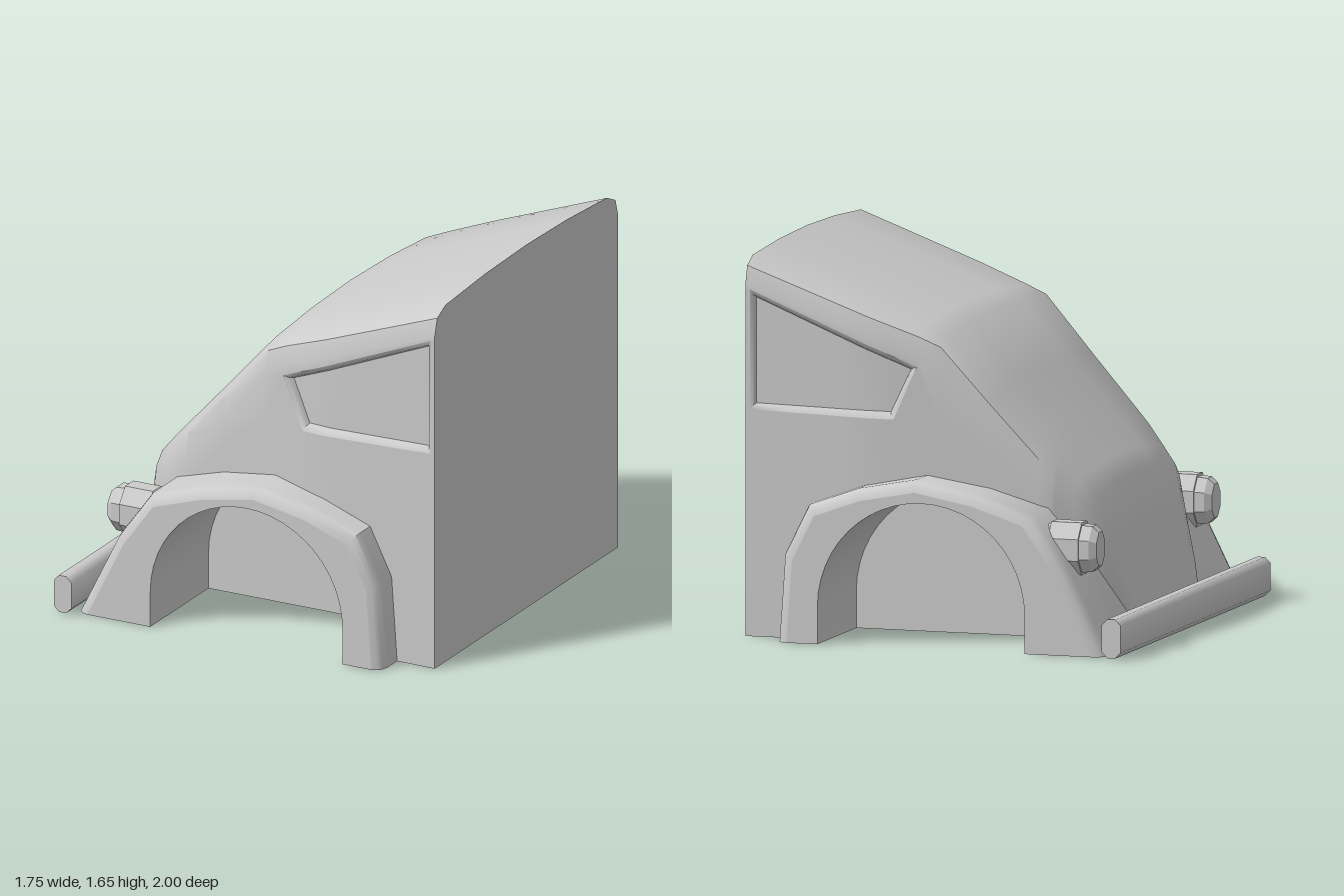
import * as THREE from 'three';
import { toCreasedNormals } from 'three/addons/utils/BufferGeometryUtils.js';

const material = new THREE.MeshStandardMaterial({ color: 0xcccccc });

function mesh(name, geometry, crease = 0.7) {
  const m = new THREE.Mesh(toCreasedNormals(geometry, crease), material);
  m.name = name;
  return m;
}

// Surface through rows of [x, y, z] points; skip(i, j) leaves cells open
function grid(rows, skip = () => false) {
  const n = rows[0].length, index = [];
  for (let i = 0; i < rows.length - 1; i++) {
    for (let j = 0; j < n - 1; j++) {
      if (skip(i, j)) continue;
      const a = i * n + j, b = a + n;
      index.push(a, b, a + 1, b, b + 1, a + 1);
    }
  }
  const g = new THREE.BufferGeometry();
  g.setAttribute('position', new THREE.Float32BufferAttribute(rows.flat(2), 3));
  g.setIndex(index);
  return g;
}

// Piecewise linear lookup in a table of [x, value]
function lookup(table, x) {
  if (x <= table[0][0]) return table[0][1];
  for (let i = 1; i < table.length; i++) {
    const [x0, v0] = table[i - 1], [x1, v1] = table[i];
    if (x <= x1) return v0 + (v1 - v0) * (x - x0) / (x1 - x0);
  }
  return table[table.length - 1][1];
}

const flat = (points) => new THREE.ShapeGeometry(new THREE.Shape(points.map(([x, y]) => new THREE.Vector2(x, y))));

// Body lines: roof height and half width along x
const roof = [[-0.79, 0], [-0.61, 0.67], [0.02, 1.34], [0.87, 1.655]];
const width = [[-0.79, 0.35], [-0.72, 0.47], [-0.6, 0.6], [-0.45, 0.69], [-0.05, 0.75], [0.33, 0.81], [0.87, 0.82]];
const widthAt = (x) => lookup(width, x);

// Window opening and the smaller pane inside it
const openLow = [[0.115, 1.185], [0.215, 0.955], [0.85, 0.975]];
const openHigh = [[0.115, 1.185], [0.85, 1.49]];
const paneLow = [[0.15, 1.17], [0.235, 0.985], [0.83, 1.0]];
const paneHigh = [[0.15, 1.17], [0.83, 1.455]];

// Wheel arch
const arch = { x: 0.035, y: 0.16, r: 0.465, inner: 0.44, outer: 0.96 };
const archLine = [[arch.x + arch.r, 0]];
for (let i = 0; i <= 24; i++) {
  const a = Math.PI * i / 24;
  archLine.push([arch.x + arch.r * Math.cos(a), arch.y + arch.r * Math.sin(a)]);
}
archLine.push([arch.x - arch.r, 0]);

const columns = [-0.79, -0.755, -0.72, -0.66, -0.61, -0.54, -0.47, -0.46, -0.4, -0.2, 0.02, 0.115,
  0.215, 0.33, 0.47, 0.53, 0.54, 0.69, 0.85, 0.87];

// Cross-section of the body at x, from one sill over the roof to the other
function section(x) {
  const top = lookup(roof, x), w = widthAt(x);
  const k = lookup([[-0.3, 1.5], [0.115, 1]], x) * Math.min(1, top / 0.6);
  const d = x - arch.x;
  const sill = x > -0.465 && x < 0.535 ? arch.y + Math.sqrt(0.25 - d * d) : 0;
  const shoulder = top - 0.145 * k;
  const mid = sill + (shoulder - sill) * 0.6;
  const half = [
    [x, sill, w],
    [x, x < 0.115 ? mid : lookup(openLow, x), w],
    [x, x < 0.115 ? mid : lookup(openHigh, x), w],
    [x, shoulder, w],
    [x, top - 0.065 * k, w * 0.97],
    [x, top - 0.03 * k, w * 0.88],
    [x, top - 0.008 * k, w * 0.45],
  ];
  const other = half.map(([a, b, c]) => [a, b, -c]).reverse();
  return [...half, [x, top, 0], ...other];
}

function makeBody() {
  const body = new THREE.Group();
  body.name = 'body';
  const rows = columns.map(section);
  const isWindow = (i, j) => (j === 1 || j === 12) && columns[i] >= 0.115 && columns[i] < 0.85;
  body.add(mesh('bodyShell', grid(rows, isWindow)));

  // Flat cut end
  const end = flat(rows[rows.length - 1].map(([, y, z]) => [z, y]));
  end.rotateY(Math.PI / 2).translate(0.87, 0, 0);
  body.add(mesh('endWall', end));

  // Floor with notches for the wheels
  const side = [[0.87, 0.82], [0.687, 0.82], [0.687, 0.9], [0.668, 0.945], [0.64, 0.96], [0.5, 0.96], [0.5, 0.44],
    [-0.43, 0.44], [-0.43, 0.96], [-0.735, 0.96], [-0.768, 0.945], [-0.79, 0.9]];
  const floor = flat([...side, ...side.map(([x, z]) => [x, -z]).reverse()]);
  body.add(mesh('floor', floor.rotateX(Math.PI / 2)));
  return body;
}

// Recessed side window: rounded rim and pane
function makeWindow() {
  const g = new THREE.Group();
  g.name = 'sideWindow';
  const xs = columns.filter((x) => x >= 0.115 && x <= 0.85);
  const inX = (x) => lookup([[0.115, 0.15], [0.215, 0.235], [0.85, 0.83]], x);
  const outer = (t) => xs.map((x) => [x, lookup(t, x), widthAt(x)]);
  const inner = (t) => xs.map((x) => [inX(x), lookup(t, inX(x)), widthAt(x) - 0.03]);
  const loop = (low, high) => [...low, ...high.reverse(), low[0]];
  const o = loop(outer(openLow), outer(openHigh));
  const n = loop(inner(paneLow), inner(paneHigh));
  const m = o.map((p, i) => [0, 1, 2].map((c) => p[c] + (n[i][c] - p[c]) * (c === 2 ? 0.3 : 0.65)));
  g.add(mesh('windowRim', grid([n, m, o]), 0.9));
  g.add(mesh('windowPane', grid([inner(paneHigh), inner(paneLow)])));
  return g;
}

function makeFender() {
  const g = new THREE.Group();
  g.name = 'fender';
  const line = [[-0.79, 0], [-0.6, 0.38], [-0.447, 0.59], [-0.2, 0.67], [0.07, 0.72], [0.335, 0.67],
    [0.555, 0.59], [0.66, 0.38], [0.687, 0]];
  const inset = (d) => line.map(([x, y]) => [x * (1 - d / 0.72), y * (1 - d / 0.72)]);
  // Outer skin rolled over at its outer edge
  const skin = [[0.3, 0], [0.9, 0], [0.93, 0.008], [0.95, 0.024], [0.96, 0.05]];
  g.add(mesh('fenderSkin', grid(skin.map(([z, d]) => inset(d).map(([x, y]) => [x, y, z])))));
  g.add(mesh('fenderFace', flat([...inset(0.05), ...archLine]).translate(0, 0, arch.outer)));
  // Wheel well
  g.add(mesh('wheelWell', grid([arch.inner, arch.outer].map((z) => archLine.map(([x, y]) => [x, y, z])))));
  g.add(mesh('wellWall', flat(archLine).translate(0, 0, arch.inner)));
  return g;
}

function makeLamp() {
  const profile = [[0, 0.46], [0.065, 0.46], [0.096, 0.5], [0.096, 0.635], [0.086, 0.635], [0.083, 0.68],
    [0.062, 0.708], [0, 0.708]].map(([r, y]) => new THREE.Vector2(r, y));
  const g = new THREE.LatheGeometry(profile, 8, Math.PI / 8);
  g.rotateZ(Math.PI / 2).scale(1, 1.27, 1).translate(0, 0.44, 0.77);
  return mesh('lamp', g, 0.5);
}

function makeBumper() {
  const x0 = -0.875, x1 = -0.79, y0 = 0.005, y1 = 0.172, c = 0.025;
  const shape = new THREE.Shape([[x0 + c, y0], [x1 - c, y0], [x1, y0 + c], [x1, y1 - c], [x1 - c, y1], [x0 + c, y1],
    [x0, y1 - c], [x0, y0 + c]].map(([x, y]) => new THREE.Vector2(x, y)));
  const g = new THREE.ExtrudeGeometry(shape, { depth: 2, bevelEnabled: false });
  return mesh('bumper', g.translate(0, 0, -1), 0.9);
}

export function createModel() {
  const model = new THREE.Group();
  model.name = 'carHalf';
  model.add(makeBody(), makeBumper());
  // Side parts, mirrored across the centre line
  for (const s of [1, -1]) {
    const side = new THREE.Group();
    side.name = s > 0 ? 'frontSide' : 'backSide';
    side.add(makeFender(), makeWindow(), makeLamp());
    side.scale.z = s;
    model.add(side);
  }
  return model;
}
